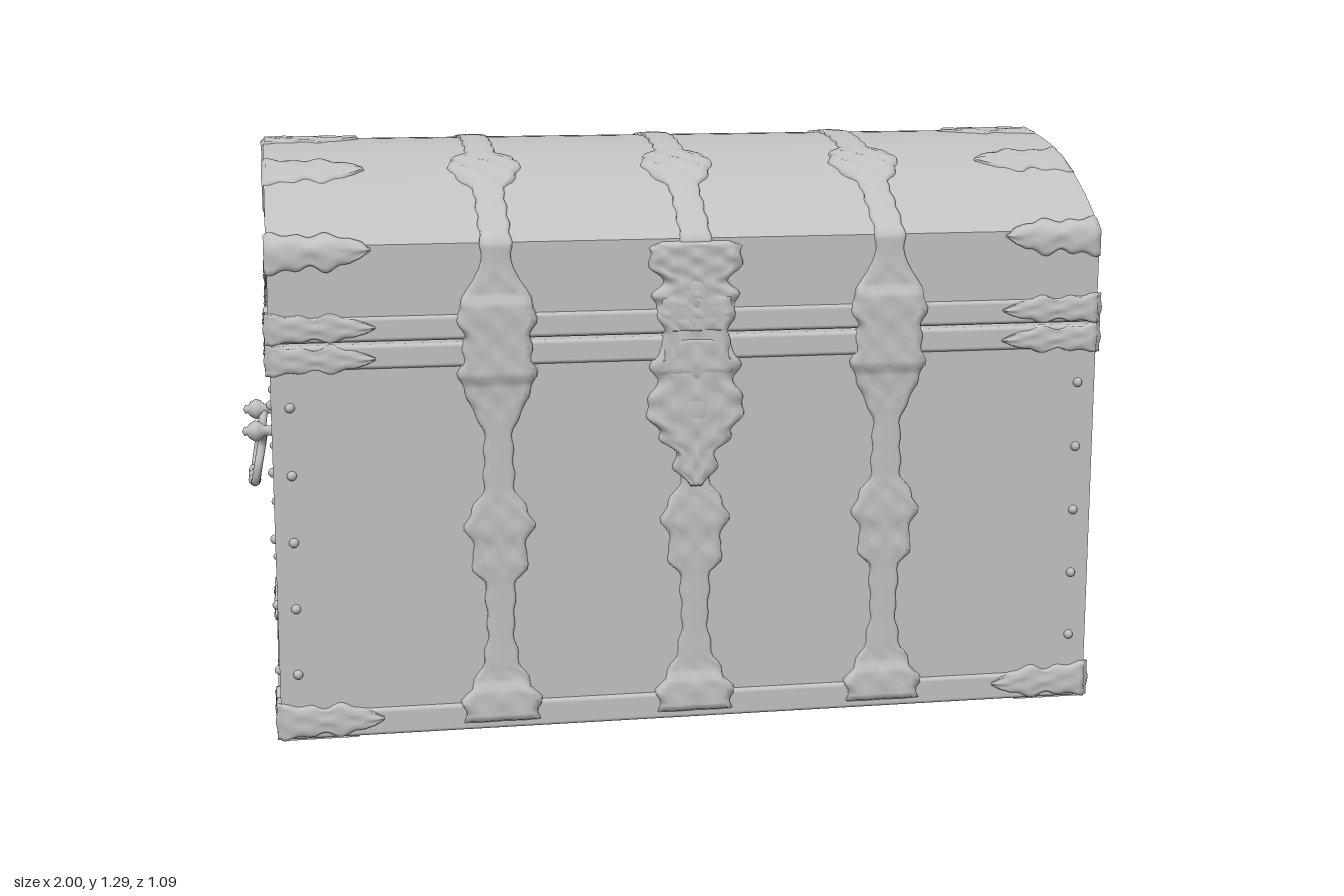
import * as THREE from 'three';
import { toCreasedNormals } from 'three/addons/utils/BufferGeometryUtils.js';
import { RoundedBoxGeometry } from 'three/addons/geometries/RoundedBoxGeometry.js';

const HX = 0.93, HZ = 0.525, SPRING = 1.1, TOP = 1.285, SEAM = 0.888;
const RISE = TOP - SPRING;
const R = (HZ * HZ + RISE * RISE) / (2 * RISE);
const HALF = Math.asin(HZ / R);
const LEN = SPRING + R * HALF; // distance from the front bottom edge to the crown

// Point and normal on the chest's outer skin, measured along the girth
function skin(l) {
  const back = l > LEN ? -1 : 1;
  const d = back < 0 ? 2 * LEN - l : l;
  if (d <= SPRING) return { y: d, z: back * HZ, ny: 0, nz: back };
  const a = (LEN - d) / R;
  return { y: TOP - R + R * Math.cos(a), z: back * R * Math.sin(a), ny: Math.cos(a), nz: back * Math.sin(a) };
}

// Smooth lookup in a list of [position, value]
function lookup(table, t) {
  if (t <= table[0][0]) return table[0][1];
  for (let i = 1; i < table.length; i++) {
    const [b, vb] = table[i], [a, va] = table[i - 1];
    if (t <= b) return va + (vb - va) * THREE.MathUtils.smoothstep(t, a, b);
  }
  return table[table.length - 1][1];
}

// Thin embossed plate: place(s, u, h) maps length, width and relief to a point
const COLS = [-1, -0.95, -0.75, -0.5, -0.25, 0, 0.25, 0.5, 0.75, 0.95, 1];
function plate(rows, relief, place) {
  const pos = [], index = [], m = COLS.length;
  for (let i = 0; i <= rows; i++) {
    const s = i / rows;
    COLS.forEach((u, j) => {
      const h = Math.abs(u) === 1 || i === 0 || i === rows ? -0.004 : relief(s, u);
      pos.push(...place(s, u, h));
      if (i < rows && j < m - 1) {
        const a = i * m + j;
        index.push(a, a + 1, a + m, a + 1, a + m + 1, a + m);
      }
    });
  }
  const g = new THREE.BufferGeometry();
  g.setAttribute('position', new THREE.Float32BufferAttribute(pos, 3));
  g.setIndex(index);
  g.computeVertexNormals();
  return g;
}

// Strap widths along the girth from the bottom edge to the crown
const STRAP = [[0.015, 0.085], [0.06, 0.09], [0.1, 0.07], [0.15, 0.042], [0.22, 0.03], [0.34, 0.035], [0.38, 0.068],
  [0.42, 0.055], [0.46, 0.078], [0.5, 0.068], [0.55, 0.035], [0.68, 0.032], [0.74, 0.06], [0.8, 0.085], [0.88, 0.075],
  [0.95, 0.088], [1.0, 0.065], [1.05, 0.035], [1.28, 0.034], [1.32, 0.06], [1.37, 0.08], [1.42, 0.075], [1.48, 0.034], [1.7, 0.033]];
const LOCK = [[0.54, 0.012], [0.59, 0.05], [0.62, 0.045], [0.66, 0.085], [0.73, 0.115], [0.77, 0.09], [0.83, 0.1],
  [0.88, 0.07], [0.92, 0.08], [0.97, 0.1], [1.0, 0.075], [1.04, 0.1], [1.08, 0.11], [1.095, 0.07]];
// Leaf shape from the corner (0) to its tip (1), as a share of half width
const LEAF = [[0, 1], [0.3, 0.85], [0.42, 0.7], [0.6, 0.95], [0.75, 0.6], [0.85, 0.45], [1, 0.04]];

export function createModel() {
  const iron = new THREE.MeshStandardMaterial({ color: 0xc0c0c0, side: THREE.DoubleSide });
  iron.name = 'plain grey';
  const chest = new THREE.Group();
  chest.name = 'chest';
  const add = (name, geo, x = 0, y = 0, z = 0, parent = chest) => {
    const mesh = new THREE.Mesh(geo, iron);
    mesh.name = name;
    mesh.position.set(x, y, z);
    parent.add(mesh);
    return mesh;
  };

  // Domed outline, used for the lid and its end rims
  const domed = (T, hz, y0, y1, top) => {
    const p = new T(), rise = top - y1, r = (hz * hz + rise * rise) / (2 * rise), a = Math.asin(hz / r);
    p.moveTo(-hz, y0).lineTo(hz, y0).lineTo(hz, y1);
    p.absarc(0, top - r, r, Math.PI / 2 - a, Math.PI / 2 + a, false);
    p.lineTo(-hz, y0);
    return p;
  };
  const extrudeX = (shape, depth) => {
    const g = new THREE.ExtrudeGeometry(shape, { depth, bevelEnabled: false, curveSegments: 20 });
    g.rotateY(Math.PI / 2);
    return toCreasedNormals(g, 0.4);
  };

  // Body and lid, with end panels set back behind the rims
  add('body', new THREE.BoxGeometry(1.81, SEAM - 0.01, HZ * 2), 0, SEAM / 2 + 0.002, 0);
  add('lid', extrudeX(domed(THREE.Shape, HZ, SEAM + 0.002, SPRING, TOP), 1.81), -0.905);

  const lidRim = domed(THREE.Shape, HZ, SEAM + 0.002, SPRING, TOP);
  lidRim.holes.push(domed(THREE.Path, 0.45, 0.94, 1.04, 1.19));
  const bodyRim = new THREE.Shape([[-HZ, 0.005], [HZ, 0.005], [HZ, SEAM - 0.003], [-HZ, SEAM - 0.003]].map(p => new THREE.Vector2(...p)));
  bodyRim.holes.push(new THREE.Path([[-0.445, 0.06], [-0.445, 0.84], [0.445, 0.84], [0.445, 0.06]].map(p => new THREE.Vector2(...p))));

  // Rounded bands at the base and on both sides of the seam
  for (const [y, h] of [[0.033, 0.062], [0.858, 0.054], [0.918, 0.054]]) {
    for (const s of [-1, 1]) {
      add('longBand', new RoundedBoxGeometry(1.868, h, 0.03, 3, 0.009), 0, y, s * 0.519);
      add('endBand', new RoundedBoxGeometry(0.04, h, 1.06, 3, 0.009), s * 0.915, y, 0);
    }
  }

  // Straps running up the front, over the lid and down the back
  const onSkin = (x, l, h) => {
    const p = skin(l);
    return [x, p.y + p.ny * h, p.z + p.nz * h];
  };
  const girthPlate = (x0, table, l0, l1, rows, relief) => plate(rows, relief, (s, u, h) => {
    const l = l0 + (l1 - l0) * s, d = l > LEN ? 2 * LEN - l : l;
    return onSkin(x0 + u * lookup(table, d) * (1 + 0.07 * Math.sin(d * 110)), l, h);
  });
  for (const x of [-0.44, 0, 0.44]) {
    add('strap', girthPlate(x, STRAP, 0.012, 2 * LEN - 0.012, 280, (s, u) => {
      const l = 0.012 + (2 * LEN - 0.024) * s, d = Math.min(l, 2 * LEN - l);
      const w = lookup(STRAP, d);
      const lift = d < 0.1 || (d > 0.8 && d < 0.97) ? 0.008 : 0;
      return 0.004 + lift + THREE.MathUtils.clamp((w - 0.035) * 0.12, 0, 0.006)
        + (w > 0.05 ? 0.003 * Math.cos(u * 7) * Math.cos(d * 90) : 0.002 * (1 - u * u));
    }));
  }

  // Ornate lock plate and hasp
  const lockRelief = (s, u) => 0.014 + 0.005 * Math.cos(u * 8) * Math.cos(s * 30) + 0.004 * (1 - u * u);
  add('lockPlate', girthPlate(0, LOCK, 0.54, SEAM - 0.004, 50, lockRelief));
  add('hasp', girthPlate(0, LOCK, SEAM + 0.004, 1.095, 40, lockRelief));
  for (const [y, r] of [[0.72, 0.04], [0.62, 0.025], [0.82, 0.035], [0.98, 0.04]]) {
    add('lockBoss', new THREE.SphereGeometry(r, 14, 8).scale(1, 1.1, 0.3), 0, y, 0.533);
  }

  // Leaf-shaped corner plates
  const leaf = (s, w) => w * lookup(LEAF, s) * (1 + 0.08 * Math.sin(s * 26));
  const leafRelief = base => (s, u) => base + 0.003 * (1 - u * u) + 0.002 * Math.cos(u * 6) * Math.cos(s * 14);
  for (const sx of [-1, 1]) {
    for (const [y, w] of [[0.042, 0.04], [0.854, 0.033], [0.922, 0.033]]) {
      for (const sz of [-1, 1]) {
        add('cornerLeaf', plate(24, leafRelief(0.012), (s, u, h) =>
          [sx * (0.936 - 0.24 * s), y + u * leaf(s, w), sz * (HZ + h)]));
        add('cornerLeaf', plate(24, leafRelief(0.01), (s, u, h) =>
          [sx * (0.928 + h), y + u * leaf(s, w), sz * (0.534 - 0.25 * s)]));
      }
    }
    // Tongues along the lid's ends, folded over onto the rim
    for (const [l, w] of [[1.09, 0.05], [1.385, 0.065], [LEN, 0.07], [2 * LEN - 1.385, 0.065], [2 * LEN - 1.09, 0.05]]) {
      add('lidTongue', plate(24, leafRelief(0.004), (s, u, h) =>
        onSkin(sx * (0.935 - 0.23 * s), l + u * leaf(s, w), h)));
      add('rimTab', plate(10, () => 0.004, (s, u, h) => {
        const p = onSkin(0, l + u * w * 0.85 * Math.sqrt(1 - 0.7 * s * s), 0.004 - 0.095 * s);
        return [sx * (HX + h), p[1], p[2]];
      }));
    }
  }

  // Rounded plates under the four bottom corners
  for (const [sx, sz, start] of [[1, 1, 2], [-1, -1, 0], [-1, 1, 1], [1, -1, 3]]) {
    const g = new THREE.CylinderGeometry(0.17, 0.17, 0.01, 14, 1, false, start * Math.PI / 2, Math.PI / 2);
    add('footPlate', g, sx * HX, 0.005, sz * 0.53);
  }

  // Nails up every edge
  const nail = new THREE.SphereGeometry(0.011, 8, 6);
  for (let i = 0; i < 5; i++) {
    for (const sx of [-1, 1]) for (const sz of [-1, 1]) {
      add('nail', nail, sx * 0.89, 0.15 + i * 0.15, sz * HZ);
      add('nail', nail, sx * HX, 0.15 + i * 0.15, sz * 0.485);
    }
  }

  // End assemblies: rims, pierced handle plate, knobs and bail
  const half = [[0, 0.11], [0.025, 0.075], [0.07, 0.088], [0.1, 0.06], [0.15, 0.075], [0.165, 0.04], [0.2, 0.05], [0.26, 0],
    [0.2, -0.045], [0.17, -0.02], [0.14, -0.055], [0.1, -0.08], [0.05, -0.1], [0, -0.11]];
  const outline = half.concat(half.slice(1, -1).reverse().map(([a, b]) => [-a, b]));
  const backing = new THREE.Shape(outline.map(p => new THREE.Vector2(...p)));
  for (const [a, b, r] of [[0.2, 0.003, 0.016], [0.085, 0.045, 0.016], [0.045, -0.055, 0.018], [0.035, 0.03, 0.013]]) {
    for (const s of [-1, 1]) backing.holes.push(new THREE.Path().absellipse(s * a, b, r * 1.3, r, 0, Math.PI * 2, true));
  }
  const knob = new THREE.LatheGeometry([[0.032, 0], [0.028, 0.02], [0.012, 0.03], [0.012, 0.045], [0.022, 0.055], [0.025, 0.067],
    [0.017, 0.08], [0.009, 0.085], [0.011, 0.091], [0, 0.097]].map(p => new THREE.Vector2(...p)), 14).rotateZ(-Math.PI / 2);
  const bail = new THREE.CatmullRomCurve3([[0.95, 0.62, 0.13], [0.955, 0.585, 0.105], [0.965, 0.535, 0.12], [0.972, 0.495, 0.105],
    [0.975, 0.485, 0.06], [0.975, 0.485, -0.06], [0.972, 0.495, -0.105], [0.965, 0.535, -0.12], [0.955, 0.585, -0.105],
    [0.95, 0.62, -0.13]].map(p => new THREE.Vector3(...p)));
  for (const turn of [0, Math.PI]) {
    const end = new THREE.Group();
    end.name = turn ? 'rightEnd' : 'leftEnd';
    end.rotation.y = turn;
    add('lidRim', extrudeX(lidRim, 0.03), 0.9, 0, 0, end);
    add('bodyRim', extrudeX(bodyRim, 0.03), 0.9, 0, 0, end);
    add('handlePlate', extrudeX(backing, 0.016), 0.904, 0.62, 0, end);
    for (const s of [-1, 1]) add('handleKnob', knob, 0.903, 0.62, s * 0.13, end);
    add('handleBail', new THREE.TubeGeometry(bail, 60, 0.01, 8), 0, 0, 0, end);
    for (const z of [-0.05, 0, 0.05]) add('bailBead', new THREE.SphereGeometry(0.015, 10, 8), 0.975, 0.485, z, end);
    chest.add(end);
  }
  return chest;
}
